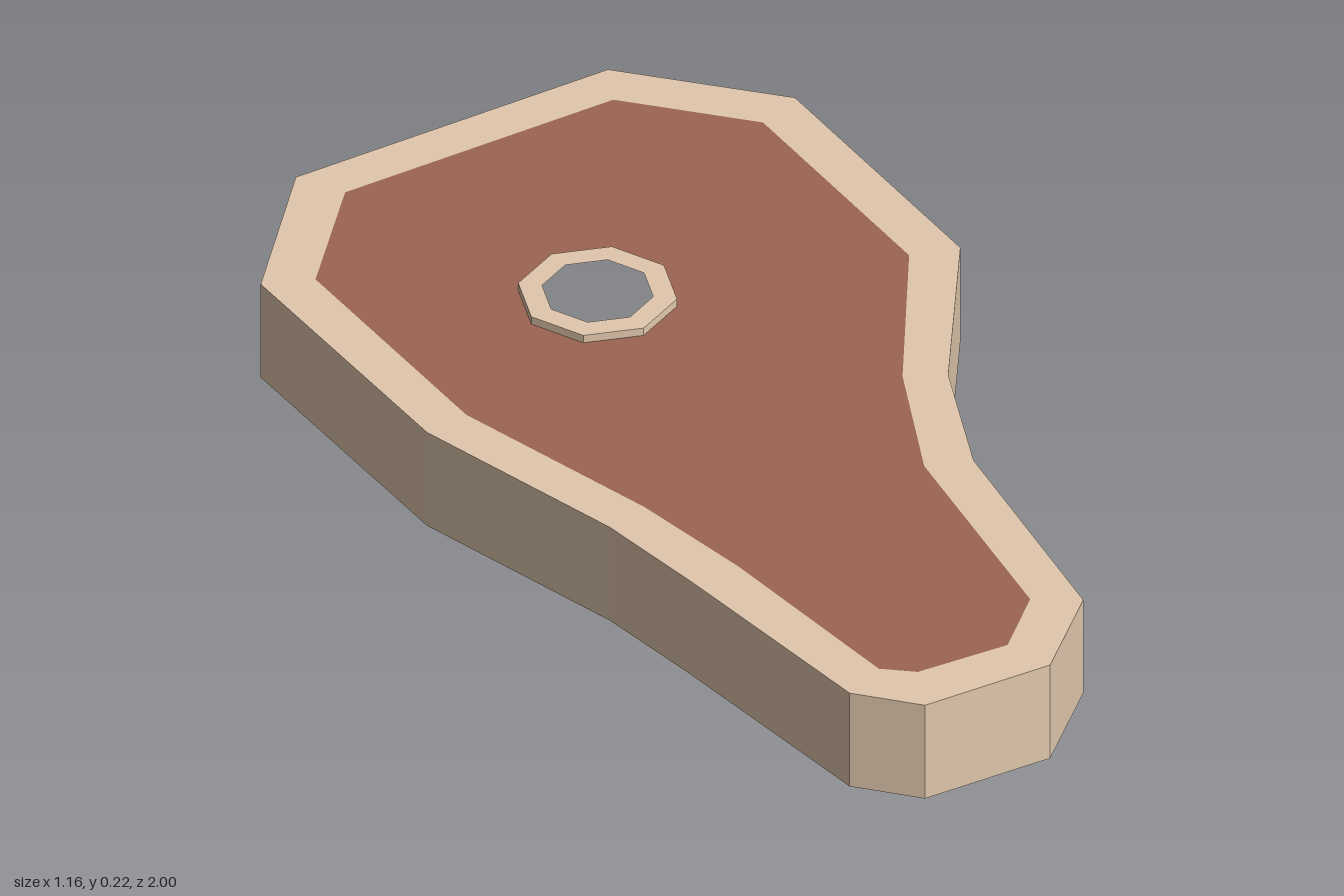
import * as THREE from 'three';

// Outlines seen from above, as [x, z]
const OUTER = [
  [0.18, -1], [0.455, -0.82], [0.58, -0.3], [0.44, 0.06], [0.4, 0.32], [0.445, 0.78], [0.33, 0.95],
  [0.09, 1], [-0.02, 0.925], [-0.17, 0.52], [-0.25, 0.32], [-0.455, -0.05], [-0.583, -0.565], [-0.425, -0.855],
];
const INNER = [
  [0.16, -0.91], [0.38, -0.765], [0.49, -0.305], [0.365, 0.04], [0.315, 0.31], [0.36, 0.75], [0.28, 0.87],
  [0.11, 0.9], [0.05, 0.87], [-0.08, 0.5], [-0.175, 0.28], [-0.375, -0.08], [-0.49, -0.55], [-0.36, -0.785],
];

// Eight-sided ring around the marrow hole
function octagon(radius) {
  return Array.from({ length: 8 }, (_, i) => {
    const a = -0.29 + (i * Math.PI) / 4;
    return [-0.053 + radius * Math.cos(a), -0.346 + radius * Math.sin(a)];
  });
}

const toPoints = (outline) => outline.map(([x, z]) => new THREE.Vector2(x, -z));

// Flat slab between two heights, with one hole through it
function slab(name, outline, hole, bottom, top, material) {
  const shape = new THREE.Shape(toPoints(outline));
  shape.holes.push(new THREE.Path(toPoints(hole)));
  const geometry = new THREE.ExtrudeGeometry(shape, { depth: top - bottom, bevelEnabled: false });
  geometry.rotateX(-Math.PI / 2).translate(0, bottom, 0);
  const mesh = new THREE.Mesh(geometry, material);
  mesh.name = name;
  return mesh;
}

export function createModel() {
  const cream = new THREE.MeshStandardMaterial({ color: 0xe1c8ad });
  cream.name = 'cream fat and bone';
  const red = new THREE.MeshStandardMaterial({ color: 0x9c6553 });
  red.name = 'red brown meat';

  const steak = new THREE.Group();
  steak.name = 'steak';
  const boneEdge = octagon(0.137);
  steak.add(
    slab('fatRim', OUTER, INNER, 0.019, 0.21, cream),
    slab('meat', INNER, boneEdge, 0.019, 0.21, red),
    slab('boneRing', boneEdge, octagon(0.096), 0, 0.225, cream),
  );
  return steak;
}
